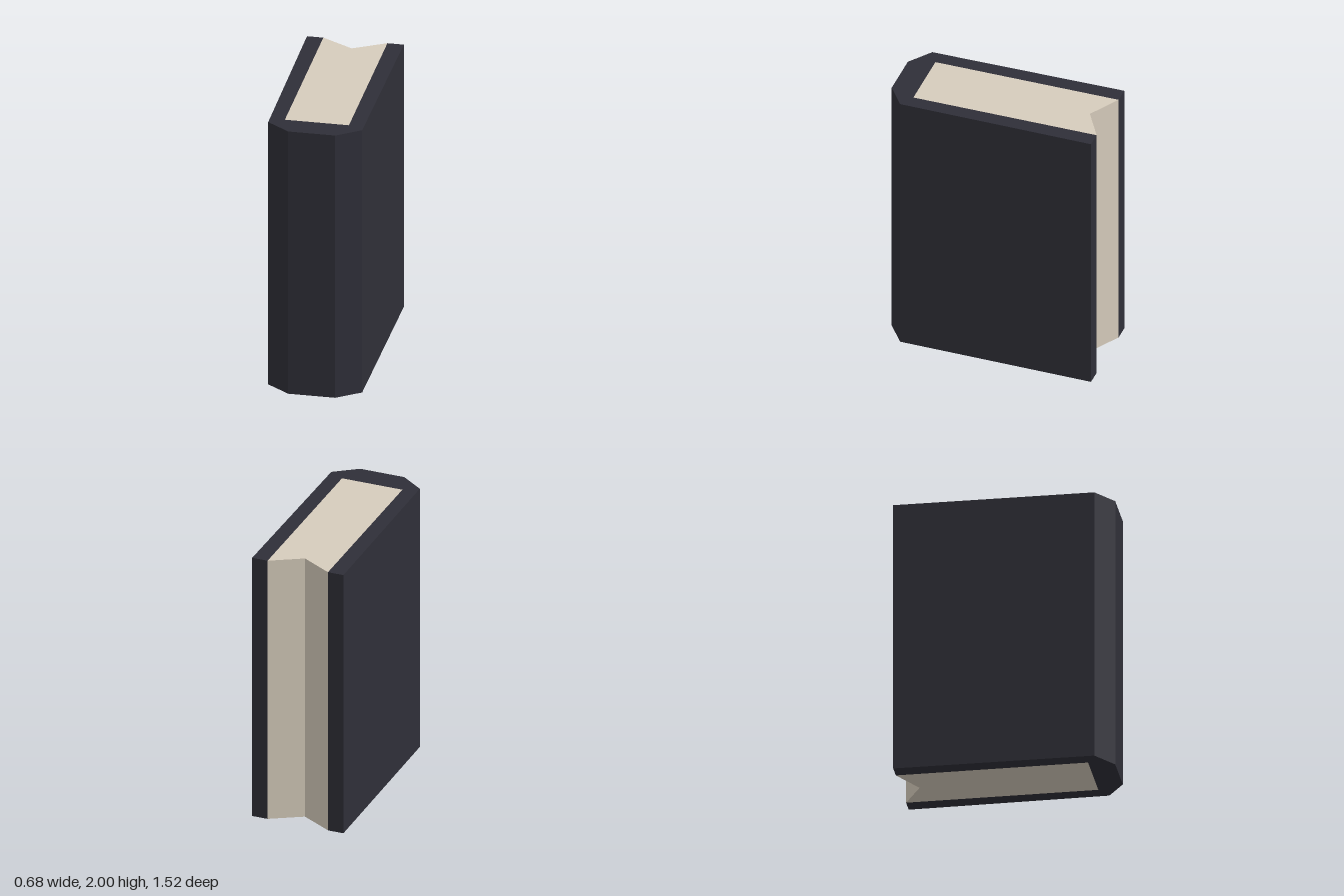
import * as THREE from 'three';

const HEIGHT = 2;

// Upright prism from an outline given as [x, z] points
function prism(name, points, material) {
  const shape = new THREE.Shape(points.map(([x, z]) => new THREE.Vector2(x, -z)));
  const geometry = new THREE.ExtrudeGeometry(shape, { depth: HEIGHT, bevelEnabled: false });
  geometry.rotateX(-Math.PI / 2);
  const mesh = new THREE.Mesh(geometry, material);
  mesh.name = name;
  return mesh;
}

// Closes a half outline by mirroring it across x = 0
const mirrored = (half) => [...half, ...half.map(([x, z]) => [-x, z]).reverse()];

export function createModel() {
  const coverMaterial = new THREE.MeshStandardMaterial({ color: 0x2f2f38 });
  coverMaterial.name = 'dark cover';
  const paperMaterial = new THREE.MeshStandardMaterial({ color: 0xd6ccbc });
  paperMaterial.name = 'cream paper';

  const book = new THREE.Group();
  book.name = 'book';

  // Boards and chamfered spine as one U-shaped wrap
  book.add(prism('cover', mirrored([
    [0.225, 0.58], [0.225, -0.76], [0.34, -0.76], [0.33, 0.64], [0.165, 0.76],
  ]), coverMaterial));

  // Page block with a V-shaped fore edge
  book.add(prism('pages', [
    [-0.225, 0.58], [0.225, 0.58], [0.225, -0.76], [0, -0.63], [-0.225, -0.76],
  ], paperMaterial));

  return book;
}
